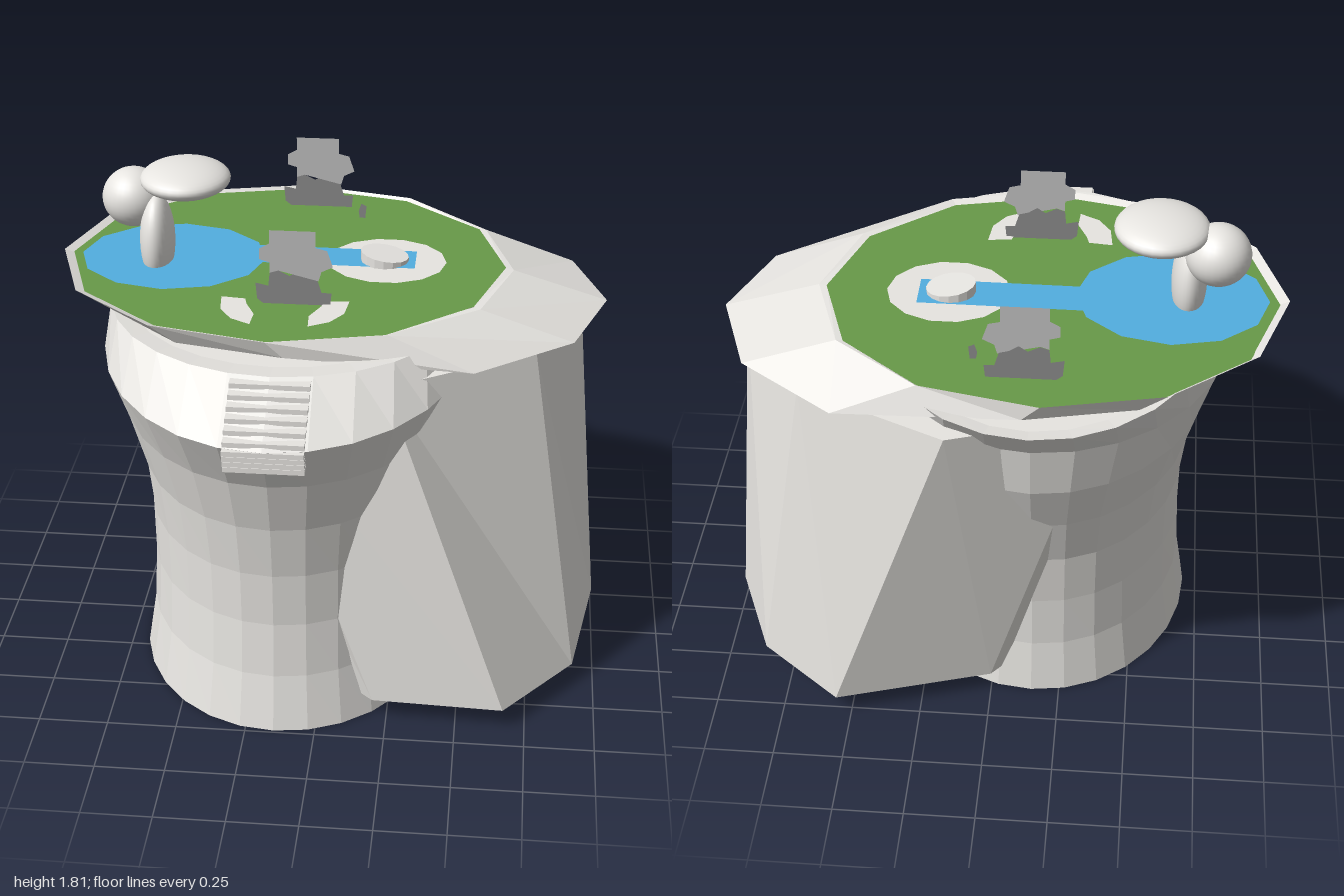
import * as THREE from 'three';

const mat = (name, color) => {
  const m = new THREE.MeshStandardMaterial({ color, side: THREE.DoubleSide });
  m.name = name;
  return m;
};

// ellipse of points around (cx, cz); y may be a number or a rule of x
function ellipse(n, cx, cz, rx, rz, y) {
  return Array.from({ length: n }, (_, i) => {
    const t = (i / n) * Math.PI * 2;
    const x = cx + rx * Math.cos(t);
    return [x, typeof y === 'function' ? y(x) : y, cz + rz * Math.sin(t)];
  });
}

// faceted skin through rings listed bottom to top, with optional end caps
function loft(rings, capBottom = false, capTop = false) {
  const p = [];
  const n = rings[0].length;
  const cap = (r, up) => {
    const c = [0, 1, 2].map(k => r.reduce((s, v) => s + v[k], 0) / n);
    r.forEach((v, i) => {
      const w = r[(i + 1) % n];
      p.push(...c, ...(up ? w : v), ...(up ? v : w));
    });
  };
  for (let j = 0; j < rings.length - 1; j++) {
    for (let i = 0; i < n; i++) {
      const k = (i + 1) % n;
      const a = rings[j][i], b = rings[j][k], c = rings[j + 1][k], d = rings[j + 1][i];
      p.push(...a, ...d, ...c, ...a, ...c, ...b);
    }
  }
  if (capBottom) cap(rings[0], false);
  if (capTop) cap(rings[rings.length - 1], true);
  const g = new THREE.BufferGeometry();
  g.setAttribute('position', new THREE.Float32BufferAttribute(p, 3));
  g.computeVertexNormals();
  return g;
}

export function createModel() {
  const model = new THREE.Group();
  const stone = mat('stone', 0xe8e6e2);
  const grass = mat('grass', 0x689a48);
  const water = mat('water', 0x52aee0);
  const darkLeaf = mat('dark grey', 0x8a8a8a);
  const paleLeaf = mat('mid grey', 0xbfbfbf);
  const add = (name, geo, m, parent = model) => {
    const mesh = new THREE.Mesh(geo, m);
    mesh.name = name;
    parent.add(mesh);
    return mesh;
  };

  // waisted oval tower: y, x radius, z radius, z centre
  const N = 28, TX = -0.148;
  const rings = [
    [0, 0.553, 0.67, 0.07], [0.21, 0.52, 0.64, 0.06], [0.42, 0.512, 0.635, 0.05],
    [0.63, 0.515, 0.65, 0.045], [0.84, 0.54, 0.7, 0.03], [1.05, 0.6, 0.775, 0.02],
  ].map(([y, rx, rz, cz]) => ellipse(N, TX, cz, rx, rz, y));
  // the front bulges into a balcony and closes again, the back keeps flaring
  const split = (y, rx, front, back) =>
    ellipse(N, TX, 0, rx, 1, y).map(([x, h, z]) => [x, h, z * (z > 0 ? front : back)]);
  rings.push(split(1.25, 0.665, 0.915, 0.79), split(1.4, 0.645, 0.67, 0.92), split(1.39, 0.58, 0.58, 0.86));
  add('tower', loft(rings, false, true), stone);

  // steps set on the balcony front
  const steps = new THREE.Group();
  steps.name = 'balconySteps';
  for (let i = 0; i < 10; i++) {
    const y = 1.17 + i * 0.0235;
    const front = y < 1.25 ? 0.895 + (y - 1.17) * 0.3 : 0.92 - (y - 1.25) * 1.6;
    const s = add('step', new THREE.BoxGeometry(0.27, 0.018, 0.1), stone, steps);
    s.position.set(-0.145, y, front - 0.05);
  }
  model.add(steps);

  // leaning many-sided annex
  const foot = [[1, -0.16], [0.92, 0.35], [0.67, 0.66], [0.2, 0.64], [0, 0.46],
    [-0.1, -0.5], [0, -0.62], [0.55, -0.79], [0.85, -0.54]];
  const head = [[0.89, -0.21], [0.73, 0.27], [0.23, 0.58], [-0.26, 0.57], [-0.4, 0.4],
    [-0.45, -0.55], [-0.37, -0.68], [0.13, -0.85], [0.65, -0.6]];
  add('annex', loft([foot.map(([x, z]) => [x, 0.085, z]), head.map(([x, z]) => [x, 1.33, z])], true, true), stone);

  // skewed collar: its lower edge swings out on one side; half outline, then mirrored
  const CZ = -0.14;
  const half = [[0.98, 1.345, 0], [0.86, 1.34, 0.345], [0.52, 1.335, 0.6], [-0.12, 1.405, 0.68],
    [-0.5, 1.395, 0.58], [-0.74, 1.39, 0.33], [-0.8, 1.385, 0]];
  const lowerEdge = [...half, ...half.slice(1, 6).reverse().map(([x, y, z]) => [x, y, -z])]
    .map(([x, y, z]) => [x, y, z + CZ]);
  const rimY = x => 1.465 - Math.max(0, x - 0.2) * 0.035;
  add('collar', loft([
    lowerEdge,
    ellipse(12, -0.18, CZ, 0.82, 0.69, rimY),
    ellipse(12, -0.178, -0.15, 0.79, 0.672, 1.452),
  ], true, false), stone);

  // flat garden layers
  const flat = (name, pts, m) => add(name, loft([pts], false, true), m);
  flat('lawn', ellipse(12, -0.178, -0.15, 0.79, 0.672, 1.453), grass);
  flat('pond', ellipse(12, -0.595, -0.138, 0.337, 0.29, 1.457), water);
  flat('fountainPaving', ellipse(14, 0.18, -0.162, 0.217, 0.193, 1.458), stone);
  flat('stream', [[0.285, 1.461, -0.245], [0.285, 1.461, -0.095], [-0.32, 1.461, -0.1], [-0.32, 1.461, -0.25]], water);

  // pair of curved paving pieces
  for (const s of [-1, 1]) {
    const pts = [[0.225, 0.19], [0.14, 0.2], [0.13, 0.24], [0.095, 0.32], [0.1, 0.4], [0.17, 0.36], [0.215, 0.29]]
      .map(([x, z]) => [-0.15 + s * x, 1.457, z]);
    flat('curvedPaving', s > 0 ? pts.reverse() : pts, stone);
  }

  // fountain basin with a sloping top
  add('fountain', loft([
    ellipse(16, 0.173, -0.162, 0.087, 0.078, 1.45),
    ellipse(16, 0.173, -0.162, 0.087, 0.078, x => 1.5 - (x - 0.086) * 0.15),
  ], false, true), stone);

  // rounded tree on the pond
  const tree = new THREE.Group();
  tree.name = 'roundTree';
  for (const [name, x, y, z, rx, ry, rz] of [
    ['trunk', -0.65, 1.53, -0.12, 0.062, 0.17, 0.11],
    ['sideCrown', -0.742, 1.667, -0.18, 0.113, 0.108, 0.115],
    ['topCrown', -0.548, 1.752, -0.165, 0.163, 0.057, 0.175],
  ]) {
    const m = add(name, new THREE.SphereGeometry(1, 32, 20), stone, tree);
    m.scale.set(rx, ry, rz);
    m.position.set(x, y, z);
  }
  model.add(tree);

  // thin cut-out shrubs
  const card = (pts) => new THREE.ShapeGeometry(new THREE.Shape(pts.map(([x, y]) => new THREE.Vector2(x, y))));
  const lower = [[-0.22, 1.45], [0.01, 1.45], [0.015, 1.5], [-0.02, 1.5], [-0.035, 1.55], [-0.07, 1.56],
    [-0.1, 1.58], [-0.13, 1.56], [-0.17, 1.58], [-0.2, 1.57], [-0.205, 1.52], [-0.25, 1.53], [-0.245, 1.47]];
  const upper = [[-0.2, 1.57], [-0.17, 1.58], [-0.09, 1.56], [-0.03, 1.545], [-0.02, 1.58], [0.02, 1.6],
    [0, 1.66], [-0.04, 1.67], [-0.04, 1.73], [-0.2, 1.73], [-0.2, 1.68], [-0.235, 1.66], [-0.235, 1.62], [-0.2, 1.61]];
  for (const z of [0.222, -0.655]) {
    const shrub = new THREE.Group();
    shrub.name = 'flatShrub';
    add('lowerLeaves', card(lower), darkLeaf, shrub);
    add('upperLeaves', card(upper), paleLeaf, shrub).position.z = 0.002;
    shrub.position.z = z;
    model.add(shrub);
  }
  add('sprout', card([[0.05, 1.45], [0.07, 1.45], [0.075, 1.5], [0.055, 1.51], [0.045, 1.48]]), darkLeaf)
    .position.z = -0.555;

  return model;
}
